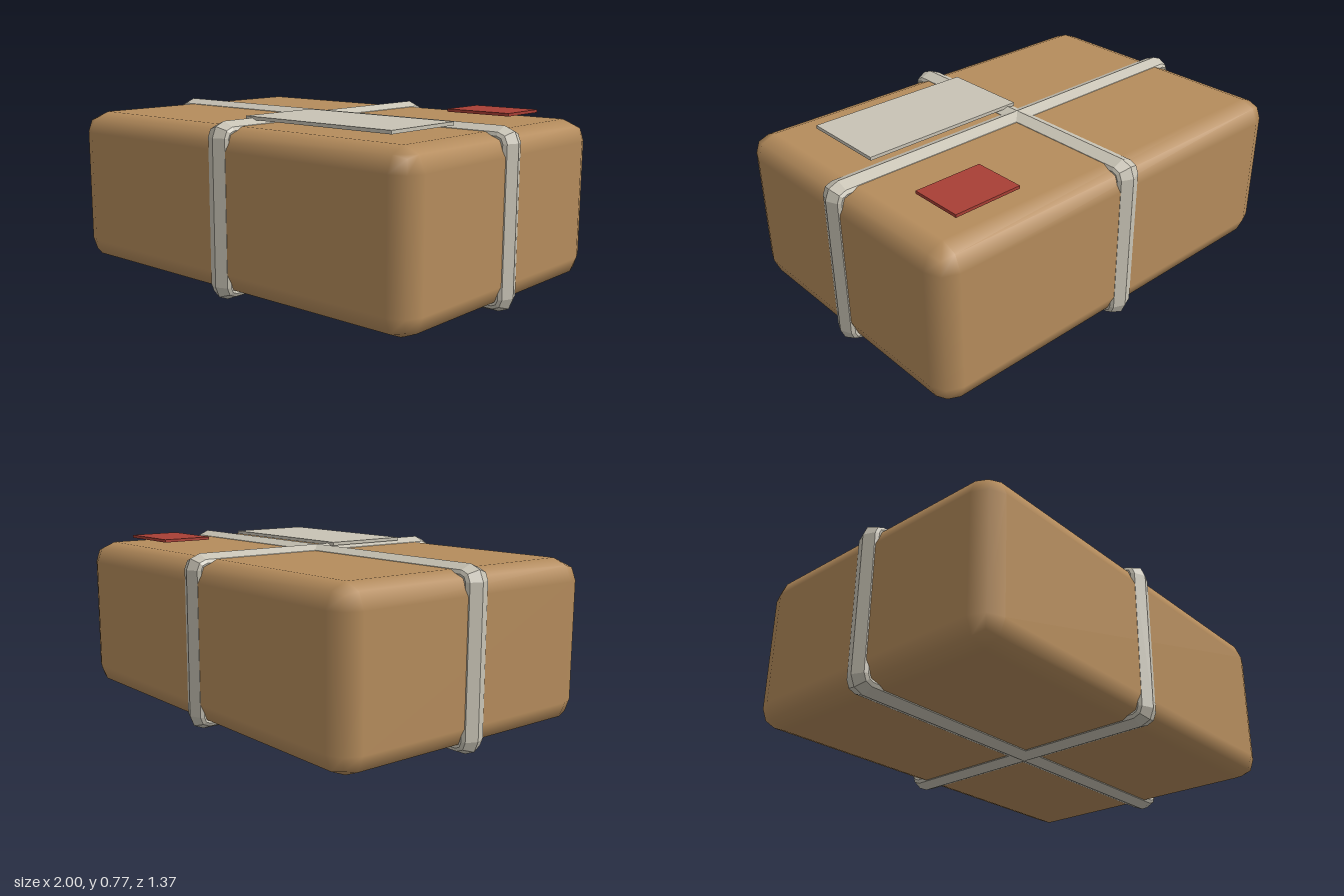
import * as THREE from 'three';
import { RoundedBoxGeometry } from 'three/addons/geometries/RoundedBoxGeometry.js';

const HEIGHT = 0.753; // overall height of the straps
const CORNER = 0.065; // strap corner radius

// Strap cross-section: [sideways offset, depth below the ridge]
const PROFILE = [
  [-0.05, 0.062], [-0.058, 0.036], [-0.05, 0.021], [0, 0],
  [0.05, 0.021], [0.058, 0.036], [0.05, 0.062],
];

// Ridged band swept round a rectangle in the xy plane with two-step corners
function strapGeometry(halfLength) {
  const rings = [];
  for (let corner = 0; corner < 4; corner++) {
    const sx = corner === 0 || corner === 3 ? 1 : -1;
    const sy = corner < 2 ? 1 : -1;
    const cx = sx * (halfLength - CORNER);
    const cy = HEIGHT / 2 + sy * (HEIGHT / 2 - CORNER);
    for (let step = 0; step < 3; step++) {
      const angle = corner * Math.PI / 2 + step * Math.PI / 4;
      rings.push(PROFILE.map(([side, depth]) => [
        cx + Math.cos(angle) * (CORNER - depth),
        cy + Math.sin(angle) * (CORNER - depth),
        side,
      ]));
    }
  }
  const positions = [];
  rings.forEach((ring, i) => {
    const next = rings[(i + 1) % rings.length];
    for (let j = 0; j < PROFILE.length - 1; j++) {
      positions.push(...ring[j], ...next[j], ...next[j + 1]);
      positions.push(...ring[j], ...next[j + 1], ...ring[j + 1]);
    }
  });
  const geometry = new THREE.BufferGeometry();
  geometry.setAttribute('position', new THREE.Float32BufferAttribute(positions, 3));
  geometry.computeVertexNormals();
  return geometry;
}

function material(name, color) {
  const m = new THREE.MeshStandardMaterial({ color });
  m.name = name;
  return m;
}

export function createModel() {
  const group = new THREE.Group();
  group.name = 'parcel';
  const cardboard = material('cardboard brown', 0xb58c5c);
  const paper = material('paper grey', 0xc8c3b5);
  const red = material('stamp red', 0xa83f35);

  function add(name, geometry, mat, x = 0, y = 0, z = 0) {
    const mesh = new THREE.Mesh(geometry, mat);
    mesh.name = name;
    mesh.position.set(x, y, z);
    group.add(mesh);
    return mesh;
  }

  // Parcel body with softened edges
  add('body', new RoundedBoxGeometry(1.95, 0.705, 1.33, 1, 0.095), cardboard, 0, 0.3775, 0);

  // Two straps crossing on the top and the bottom
  add('longStrap', strapGeometry(1), paper);
  add('crossStrap', strapGeometry(0.687), paper).rotation.y = Math.PI / 2;

  // Address label and stamp on the top
  add('addressLabel', new THREE.BoxGeometry(0.78, 0.015, 0.4), paper, 0.35, 0.752, 0.264);
  add('stamp', new THREE.BoxGeometry(0.313, 0.013, 0.236), red, 0.622, 0.7615, -0.402);

  return group;
}
